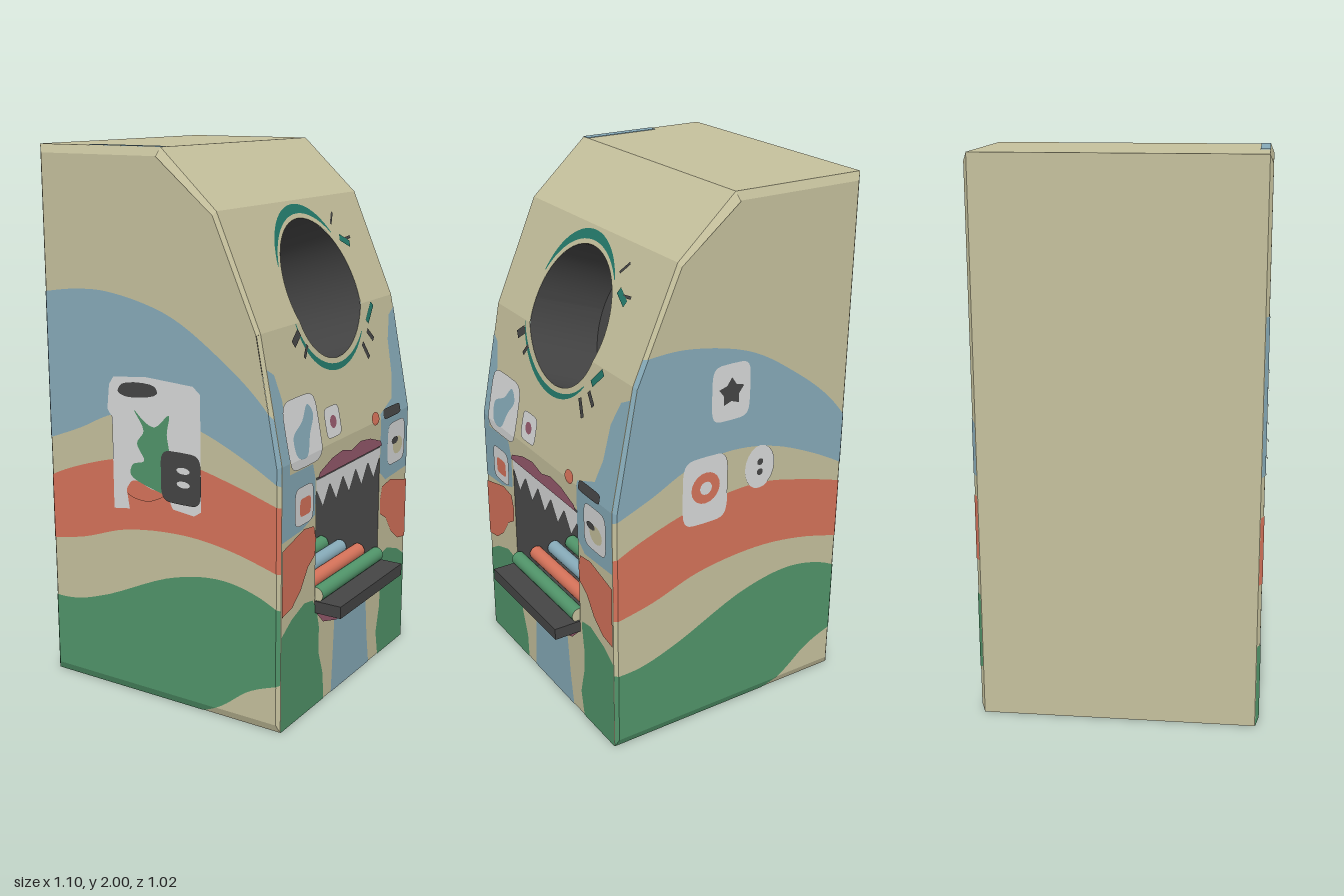
import * as THREE from 'three';
import { mergeGeometries } from 'three/addons/utils/BufferGeometryUtils.js';

const mat = (name, color, side = THREE.FrontSide) => {
  const m = new THREE.MeshStandardMaterial({ color, side });
  m.name = name;
  return m;
};

// Cabinet outline in x, y (counter-clockwise), and the inset outline of the bevelled side faces
const OUTER = [[-0.55, 0], [0.445, 0], [0.445, 0.97], [0.36, 1.41], [0.19, 1.8], [-0.03, 2], [-0.55, 2]];
const INNER = [[-0.538, 0.03], [0.433, 0.03], [0.433, 0.965], [0.35, 1.405], [0.183, 1.785], [-0.037, 1.97], [-0.538, 1.97]];
const HALF = 0.5, EDGE = 0.488;

// Height of a plane through three points [u, v, h]
function plane(a, b, c) {
  const n = new THREE.Plane().setFromCoplanarPoints(...[a, b, c].map(p => new THREE.Vector3(...p)));
  return (u, v) => -(n.normal.x * u + n.normal.y * v + n.constant) / n.normal.z;
}

// Facets: a convex outline, a height over it, and the way into space
function sideFacets(s) {
  const to = (u, v, h) => [u, v, s * h], flip = s < 0;
  const list = [{ poly: INNER, h: () => HALF, to, flip }];
  OUTER.forEach((a, i) => {
    const j = (i + 1) % OUTER.length, b = OUTER[j];
    list.push({ poly: [a, b, INNER[j], INNER[i]], h: plane([...a, EDGE], [...b, EDGE], [...INNER[i], HALF]), to, flip });
  });
  return list;
}
const FRONT = [1, 2, 3, 4].map(i => {
  const [x0, y0] = OUTER[i], [x1, y1] = OUTER[i + 1];
  return {
    poly: [[-EDGE, y0], [EDGE, y0], [EDGE, y1], [-EDGE, y1]],
    h: (u, v) => x0 + (x1 - x0) * (v - y0) / (y1 - y0),
    to: (u, v, h) => [h, v, u], flip: true,
  };
});
const LEFT = sideFacets(1), RIGHT = sideFacets(-1);

// Cut an outline to a convex outline
function clip(pts, convex) {
  convex.forEach((a, i) => {
    const b = convex[(i + 1) % convex.length], out = [];
    const d = p => (b[0] - a[0]) * (p[1] - a[1]) - (b[1] - a[1]) * (p[0] - a[0]);
    pts.forEach((p, k) => {
      const q = pts[(k + 1) % pts.length], dp = d(p), dq = d(q);
      if (dp >= 0) out.push(p);
      if ((dp > 0 && dq < 0) || (dp < 0 && dq > 0)) {
        const t = dp / (dp - dq);
        out.push([p[0] + (q[0] - p[0]) * t, p[1] + (q[1] - p[1]) * t]);
      }
    });
    pts = out;
  });
  return pts;
}

// Lay a flat outline over the facets, lifted a little per layer
function lay(name, pts, facets, layer, material) {
  const parts = [];
  for (const f of facets) {
    const v2 = clip(pts, f.poly).map(p => new THREE.Vector2(...p));
    if (v2.length < 3 || Math.abs(THREE.ShapeUtils.area(v2)) < 1e-6) continue;
    const g = new THREE.ShapeGeometry(new THREE.Shape(v2)), pos = g.attributes.position;
    for (let i = 0; i < pos.count; i++) {
      const u = pos.getX(i), v = pos.getY(i);
      pos.setXYZ(i, ...f.to(u, v, f.h(u, v) + layer * 0.002));
    }
    if (f.flip) g.setIndex([...g.index.array].reverse());
    g.computeVertexNormals();
    parts.push(g);
  }
  const m = new THREE.Mesh(mergeGeometries(parts), material);
  m.name = name;
  return m;
}

// Outline helpers
const smooth = (pts, closed = false) => new THREE.CatmullRomCurve3(pts.map(p => new THREE.Vector3(p[0], p[1], 0)), closed)
  .getPoints(pts.length * 5).slice(0, closed ? -1 : undefined).map(p => [p.x, p.y]);
const band = (top, bottom) => [...smooth(bottom), ...smooth(top).reverse()];
const ring = (n, f) => Array.from({ length: n }, (_, i) => f(i / n * Math.PI * 2));
const oval = (x, y, rx, ry = rx) => ring(20, a => [x + rx * Math.cos(a), y + ry * Math.sin(a)]);
const soft = c => Math.sign(c) * Math.abs(c) ** 0.4;
const patch = (x, y, w, h) => ring(28, a => [x + w / 2 * soft(Math.cos(a)), y + h / 2 * soft(Math.sin(a))]);
const star = (x, y, r) => ring(10, a => [a, Math.round(a / Math.PI * 5) % 2 ? 0.6 : 1])
  .map(([a, k]) => [x + r * k * Math.sin(a), y + r * k * Math.cos(a)]);
const arc = (r, w, a0, a1) => { // crescent around the porthole
  const t = Array.from({ length: 25 }, (_, i) => i / 24);
  const at = (k, q) => [q * Math.cos(a0 + (a1 - a0) * k), 1.495 + q * Math.sin(a0 + (a1 - a0) * k)];
  return [...t.map(k => at(k, r)), ...t.reverse().map(k => at(k, r + w * Math.sin(Math.PI * k) + 0.004))];
};
const dash = (x0, y0, x1, y1, w) => {
  const l = Math.hypot(x1 - x0, y1 - y0), nx = -(y1 - y0) / l * w / 2, ny = (x1 - x0) / l * w / 2;
  return [[x0 + nx, y0 + ny], [x0 - nx, y0 - ny], [x1 - nx, y1 - ny], [x1 + nx, y1 + ny]];
};

export function createModel() {
  const group = new THREE.Group();
  group.name = 'monsterCabinet';
  const cream = mat('cream', 0xc6c19d), blue = mat('blue', 0x87abb9), orange = mat('orange', 0xd6735a);
  const green = mat('green', 0x51956a), white = mat('white', 0xd8d9d9, THREE.DoubleSide);
  const dark = mat('charcoal', 0x454545, THREE.DoubleSide), teal = mat('teal', 0x23796a), plum = mat('plum', 0x975a6d);
  const add = (name, pts, facets, layer, m) => group.add(lay(name, pts, facets, layer, m));
  const mesh = (name, g, m, x = 0, y = 0, z = 0) => {
    const o = new THREE.Mesh(g, m);
    o.name = name;
    o.position.set(x, y, z);
    group.add(o);
    return o;
  };

  // Shell: bevelled sides, front halves with mouth and porthole cut out, back, top and bottom
  const R = 0.243, CY = 1.495;
  add('leftSide', OUTER, LEFT, 0, cream);
  add('rightSide', OUTER, RIGHT, 0, cream);
  const notch = Array.from({ length: 33 }, (_, i) => [R * Math.sin(i / 32 * Math.PI), CY + R * Math.cos(i / 32 * Math.PI)]);
  const half = [[0, 0], [EDGE, 0], [EDGE, 2], [0, 2], ...notch, [0, 0.87], [0.25, 0.87], [0.25, 0.365], [0, 0.365]];
  for (const s of [1, -1]) add('frontPanel', half.map(([u, v]) => [s * u, v]), FRONT, 0, cream);
  mesh('back', new THREE.PlaneGeometry(2 * EDGE, 2), cream, -0.55, 1, 0).rotation.y = -Math.PI / 2;
  mesh('top', new THREE.PlaneGeometry(0.52, 2 * EDGE), cream, -0.29, 2, 0).rotation.x = -Math.PI / 2;
  mesh('bottom', new THREE.PlaneGeometry(0.995, 2 * EDGE), cream, -0.0525, 0, 0).rotation.x = Math.PI / 2;
  mesh('topPaint', new THREE.BoxGeometry(0.3, 0.004, 0.033), blue, -0.18, 2, 0.471);

  // Wavy stripes on both sides; the right side is the left one turned around
  const waves = [
    ['blueWave', blue, [[-0.6, 1.47], [-0.4, 1.5], [-0.25, 1.5], [0, 1.44], [0.2, 1.32], [0.36, 1.19], [0.5, 1.02]],
      [[-0.6, 0.91], [-0.4, 0.99], [-0.25, 1.06], [-0.08, 1.085], [0.1, 1.06], [0.3, 0.98], [0.5, 0.87]]],
    ['orangeWave', orange, [[-0.6, 0.76], [-0.45, 0.83], [-0.2, 0.905], [0.05, 0.925], [0.25, 0.885], [0.5, 0.81]],
      [[-0.6, 0.53], [-0.4, 0.57], [-0.2, 0.635], [0.05, 0.66], [0.25, 0.64], [0.5, 0.575]]],
    ['greenWave', green, [[-0.6, 0.31], [-0.45, 0.315], [-0.3, 0.36], [0, 0.49], [0.2, 0.525], [0.35, 0.5], [0.5, 0.43]],
      [[-0.6, -0.01], [0.08, -0.01], [0.2, 0.04], [0.33, 0.135], [0.5, 0.2]]],
  ];
  for (const [name, m, top, bottom] of waves) {
    const pts = band(top, bottom);
    add(name, pts, LEFT, 1, m);
    add(name, pts.map(([u, v]) => [-0.105 - u, v]).reverse(), RIGHT, 1, m);
  }

  // Left side stickers
  add('stickerSheet', [[-0.24, 1.2], [-0.1, 1.215], [0.1, 1.205], [0.13, 1.18], [0.13, 0.76], [0.1, 0.74], [0.01, 0.75], [-0.02, 0.81],
    [-0.19, 0.78], [-0.18, 0.72], [-0.25, 0.71], [-0.25, 1.05], [-0.27, 1.08], [-0.26, 1.17]], LEFT, 2, white);
  add('creature', smooth([[-0.15, 1.09], [-0.1, 1.05], [-0.06, 1.04], [0, 1.09], [-0.01, 1.02], [0, 0.95], [-0.01, 0.89], [0.01, 0.8],
    [-0.07, 0.81], [-0.17, 0.85], [-0.16, 0.89], [-0.11, 0.91], [-0.14, 0.97], [-0.11, 1.02]], true), LEFT, 3, green);
  add('creatureFoot', smooth([[-0.19, 0.78], [-0.16, 0.83], [-0.08, 0.81], [-0.02, 0.8], [-0.1, 0.76]], true), LEFT, 3, orange);
  add('darkMark', smooth([[-0.22, 1.15], [-0.2, 1.18], [-0.06, 1.185], [-0.05, 1.16], [-0.18, 1.135]], true), LEFT, 3, dark);
  add('darkBlob', patch(0.048, 0.87, 0.17, 0.19), LEFT, 4, dark);
  for (const y of [0.9, 0.85]) add('blobMark', oval(0.06, y, 0.028, 0.012), LEFT, 5, white);

  // Right side stickers
  add('starSticker', patch(-0.025, 1.31, 0.16, 0.21), RIGHT, 2, white);
  add('star', star(-0.025, 1.31, 0.055), RIGHT, 3, dark);
  add('ringSticker', patch(0.075, 0.96, 0.19, 0.26), RIGHT, 2, white);
  add('ring', oval(0.075, 0.97, 0.06), RIGHT, 3, orange);
  add('ringCentre', oval(0.075, 0.97, 0.025), RIGHT, 4, white);
  add('dotSticker', oval(-0.16, 0.99, 0.065, 0.085), RIGHT, 2, white);
  for (const y of [0.97, 1.01]) add('dot', oval(-0.16, y, 0.013), RIGHT, 3, dark);

  // Front stripes
  add('frontBlueLeft', [[0.5, 1.3], [0.45, 1.27], [0.425, 1.18], [0.44, 0.93], [0.28, 0.93], [0.26, 0.87], [0.26, 0.74], [0.35, 0.71], [0.5, 0.7]], FRONT, 1, blue);
  add('frontBlueRight', [[-0.5, 1.37], [-0.44, 1.34], [-0.4, 1.25], [-0.39, 1.12], [-0.36, 1.03], [-0.25, 0.99], [-0.25, 0.76], [-0.3, 0.72], [-0.5, 0.73]], FRONT, 1, blue);
  add('frontBlueMiddle', [[0.1, 0.31], [0.11, 0.15], [0.12, 0], [-0.19, 0], [-0.17, 0.12], [-0.15, 0.31]], FRONT, 1, blue);
  for (const s of [1, -1]) {
    add('frontOrange', [[0.5, 0.67], [0.42, 0.69], [0.34, 0.71], [0.27, 0.7], [0.255, 0.65], [0.26, 0.59], [0.31, 0.56], [0.36, 0.49], [0.42, 0.445], [0.5, 0.43]]
      .map(([u, v]) => [s * u, v]), FRONT, 2, orange);
    const inner = s > 0 ? [[0.24, 0.38], [0.22, 0.3], [0.22, 0.2], [0.185, 0.1], [0.18, 0]] : [[0.265, 0.4], [0.28, 0.3], [0.275, 0.2], [0.25, 0.1], [0.27, 0]];
    add('frontGreen', [[0.5, 0.35], [0.42, 0.4], [0.33, 0.43], [0.27, 0.42], ...inner, [0.5, 0]].map(([u, v]) => [s * u, v]), FRONT, 1, green);
  }

  // Front stickers
  add('blueSticker', patch(0.33, 1.055, 0.23, 0.24), FRONT, 3, white);
  add('blueSplash', smooth([[0.39, 0.98], [0.4, 1.05], [0.33, 1.09], [0.28, 1.14], [0.25, 1.1], [0.29, 1.04], [0.33, 0.97]], true), FRONT, 4, blue);
  add('plumSticker', patch(0.12, 1.045, 0.11, 0.11), FRONT, 3, white);
  add('plumDot', oval(0.12, 1.045, 0.023), FRONT, 4, plum);
  add('orangeSticker', patch(0.345, 0.8, 0.13, 0.14), FRONT, 3, white);
  add('orangeSquare', patch(0.34, 0.795, 0.075, 0.065), FRONT, 4, orange);
  add('spotSticker', patch(-0.38, 0.855, 0.15, 0.17), FRONT, 3, white);
  add('creamSpot', oval(-0.39, 0.84, 0.042, 0.035), FRONT, 4, cream);
  add('darkSpot', oval(-0.36, 0.865, 0.028, 0.014), FRONT, 5, dark);
  add('orangeDot', oval(-0.2, 0.985, 0.03, 0.025), FRONT, 3, orange);
  add('darkDash', patch(-0.34, 0.985, 0.145, 0.04), FRONT, 3, dark);

  // Eye: porthole tube running back and down, painted lids and lashes
  const rim = Array.from({ length: 49 }, (_, i) => {
    const a = i / 48 * Math.PI * 2, z = R * Math.cos(a), y = CY + R * Math.sin(a);
    const f = FRONT[y < 1.41 ? 1 : 2];
    return [[f.h(z, y), y, z], [0.04 - 0.39 * (y - CY), y - 0.1, z]];
  });
  const tube = new THREE.BufferGeometry(), idx = [];
  tube.setAttribute('position', new THREE.Float32BufferAttribute(rim.flat(2), 3));
  for (let i = 0; i < 48; i++) idx.push(2 * i, 2 * i + 1, 2 * i + 2, 2 * i + 2, 2 * i + 1, 2 * i + 3);
  tube.setIndex(idx);
  tube.computeVertexNormals();
  mesh('portholeTube', tube, dark);
  const disc = new THREE.BufferGeometry().setFromPoints(rim.map(p => new THREE.Vector3(...p[1])));
  disc.setIndex(Array.from({ length: 47 }, (_, i) => [0, i + 2, i + 1]).flat());
  disc.computeVertexNormals();
  mesh('portholeBack', disc, dark);
  add('upperLid', arc(0.26, 0.03, 0.4, 2.4), FRONT, 1, teal);
  add('lowerLid', arc(0.262, 0.02, 3.9, 5.95).map(([u, v]) => [-u * 1.05, v]).map(([u, v]) => [-u, v]), FRONT, 1, teal);
  add('lidCorner', dash(-0.25, 1.34, -0.31, 1.4, 0.025), FRONT, 2, teal);
  add('lidCorner', dash(-0.24, 1.65, -0.3, 1.62, 0.025), FRONT, 2, teal);
  for (const l of [[0.25, 1.38, 0.3, 1.345, 0.03], [0.21, 1.33, 0.24, 1.29, 0.015], [-0.19, 1.27, -0.225, 1.21, 0.02], [-0.24, 1.31, -0.28, 1.27, 0.02],
    [-0.21, 1.7, -0.25, 1.74, 0.01], [-0.27, 1.64, -0.32, 1.645, 0.01]]) add('lash', dash(...l), FRONT, 2, dark);

  // Mouth: recess, lips, teeth, delivery tray and rollers
  const recess = new THREE.BoxGeometry(0.395, 0.505, 0.5);
  recess.setIndex([...recess.index.array].slice(6));
  mesh('mouthRecess', recess, dark, 0.2475, 0.6175, 0);
  add('upperLip', [[0.25, 0.87], [0.24, 0.89], [0.15, 0.92], [0.07, 0.93], [0, 0.912], [-0.07, 0.93], [-0.15, 0.92], [-0.24, 0.89], [-0.25, 0.87]], FRONT, 4, plum);
  add('lowerLip', [[0.25, 0.365], [0.2, 0.315], [0.1, 0.285], [0, 0.278], [-0.1, 0.285], [-0.2, 0.315], [-0.25, 0.365]], FRONT, 4, plum);
  const zigzag = Array.from({ length: 11 }, (_, i) => [-0.25 + i * 0.05, i % 2 ? 0.75 : 0.825]);
  add('teeth', [...zigzag, [0.25, 0.862], [-0.25, 0.862]], FRONT, 0, white);
  mesh('tray', new THREE.BoxGeometry(0.105, 0.045, 0.5), dark, 0.4975, 0.3875, 0);
  [green, orange, blue, green].forEach((m, i) => {
    mesh('roller', new THREE.CylinderGeometry(0.028, 0.028, 0.485, 20), [m, cream, cream], 0.446 - i * 0.08, 0.432, 0).rotation.x = Math.PI / 2;
  });
  return group;
}
